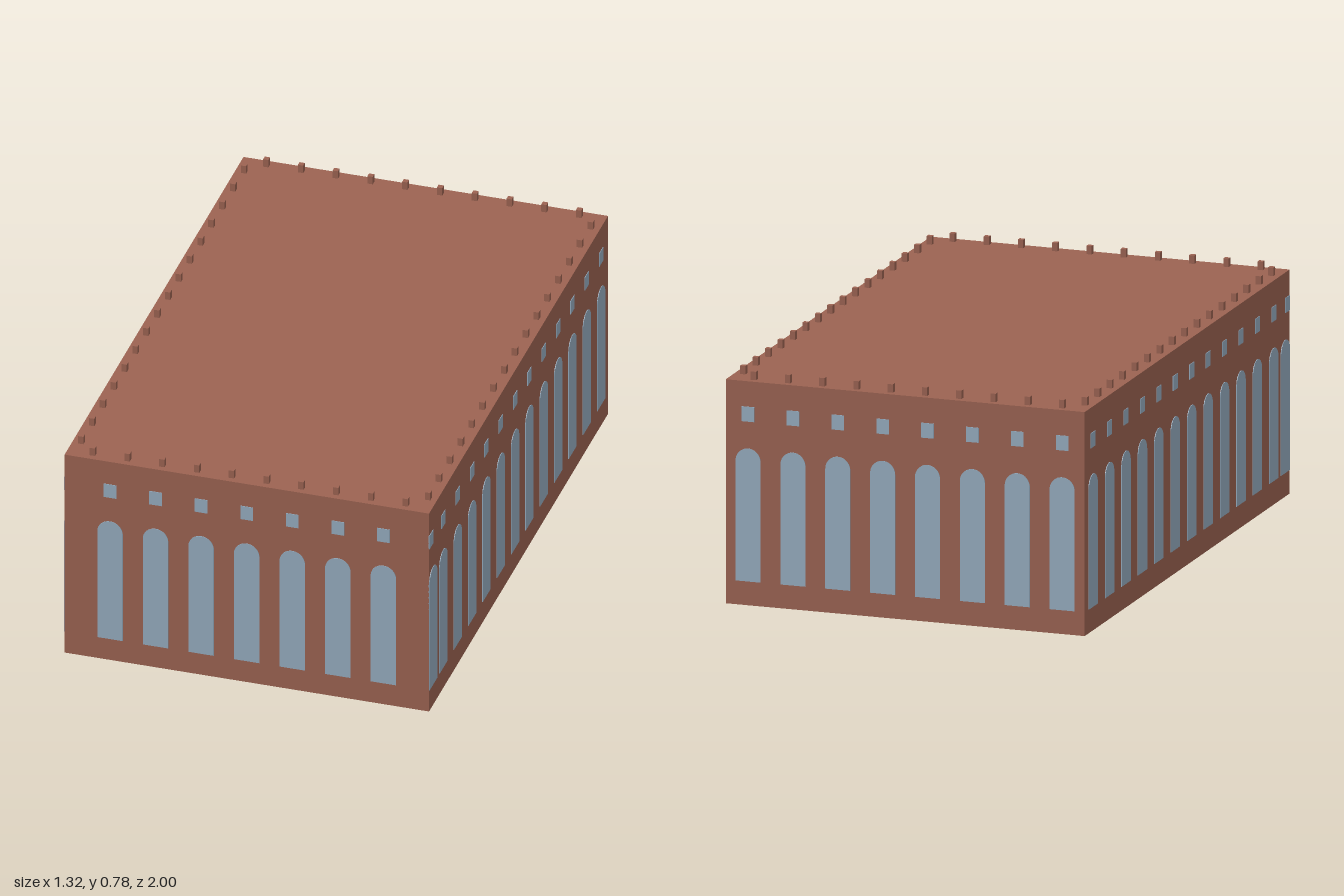
import * as THREE from 'three';

const W = 1.237, D = 1.947, H = 0.75;      // main block
const PITCH = 0.156, WIN = 0.086, SQ = 0.043; // window bays

const brick = new THREE.MeshStandardMaterial({ color: 0x9c6352 });
const glass = new THREE.MeshStandardMaterial({ color: 0x96adc0 });

// Tall round-headed window, base at y = 0.08
function archGeometry() {
  const r = WIN / 2, s = new THREE.Shape();
  s.moveTo(-r, 0.08);
  s.lineTo(r, 0.08);
  s.lineTo(r, 0.525 - r);
  s.absarc(0, 0.525 - r, r, 0, Math.PI, false);
  s.closePath();
  return new THREE.ExtrudeGeometry(s, { depth: 0.004, bevelEnabled: false, curveSegments: 16 });
}

export function createModel() {
  const model = new THREE.Group();
  model.name = 'arcadedHall';
  const add = (parent, name, geometry, material, x, y, z) => {
    const mesh = new THREE.Mesh(geometry, material);
    mesh.name = name;
    mesh.position.set(x, y, z);
    parent.add(mesh);
    return mesh;
  };

  add(model, 'walls', new THREE.BoxGeometry(W, H, D), brick, 0, H / 2, 0);

  // One facade: an arched window with a small square window above, per bay
  const arch = archGeometry();
  const square = new THREE.BoxGeometry(SQ, 0.05, 0.004);
  function facade(name, angle, distance, length, centres) {
    const group = new THREE.Group();
    group.name = name;
    group.rotation.y = angle;
    const fit = (c, w) => THREE.MathUtils.clamp(c, (w - length) / 2, (length - w) / 2);
    for (const c of centres) {
      add(group, 'archedWindow', arch, glass, fit(c, WIN), 0, distance - 0.002);
      add(group, 'squareWindow', square, glass, fit(c, SQ), 0.64, distance);
    }
    model.add(group);
  }
  const even = (n) => Array.from({ length: n }, (_, i) => (i - (n - 1) / 2) * W / 8);
  // Side bays run from the back; the last one is squeezed against the front corner
  const side = Array.from({ length: 13 }, (_, i) => -D / 2 + PITCH * (i + 0.5));
  facade('frontWindows', 0, D / 2, W, even(7));
  facade('backWindows', Math.PI, D / 2, W, even(8));
  facade('leftWindows', Math.PI / 2, W / 2, D, side.map((c) => -c));
  facade('rightWindows', -Math.PI / 2, W / 2, D, side);

  // Small posts along the roof edge
  const post = new THREE.BoxGeometry(0.018, 0.028, 0.018);
  const px = W / 2 - 0.03, pz = D / 2 - 0.03;
  for (const s of [-1, 1]) {
    for (let i = 0; i < 10; i++) {
      add(model, 'roofPost', post, brick, (i - 4.5) * 0.118, H + 0.014, s * pz);
    }
    for (let i = 0; i < 16; i++) {
      add(model, 'roofPost', post, brick, s * px, H + 0.014, (i - 7.5) * 0.118);
    }
  }

  // The block stands slightly turned
  model.rotation.y = -0.0435;
  return model;
}
